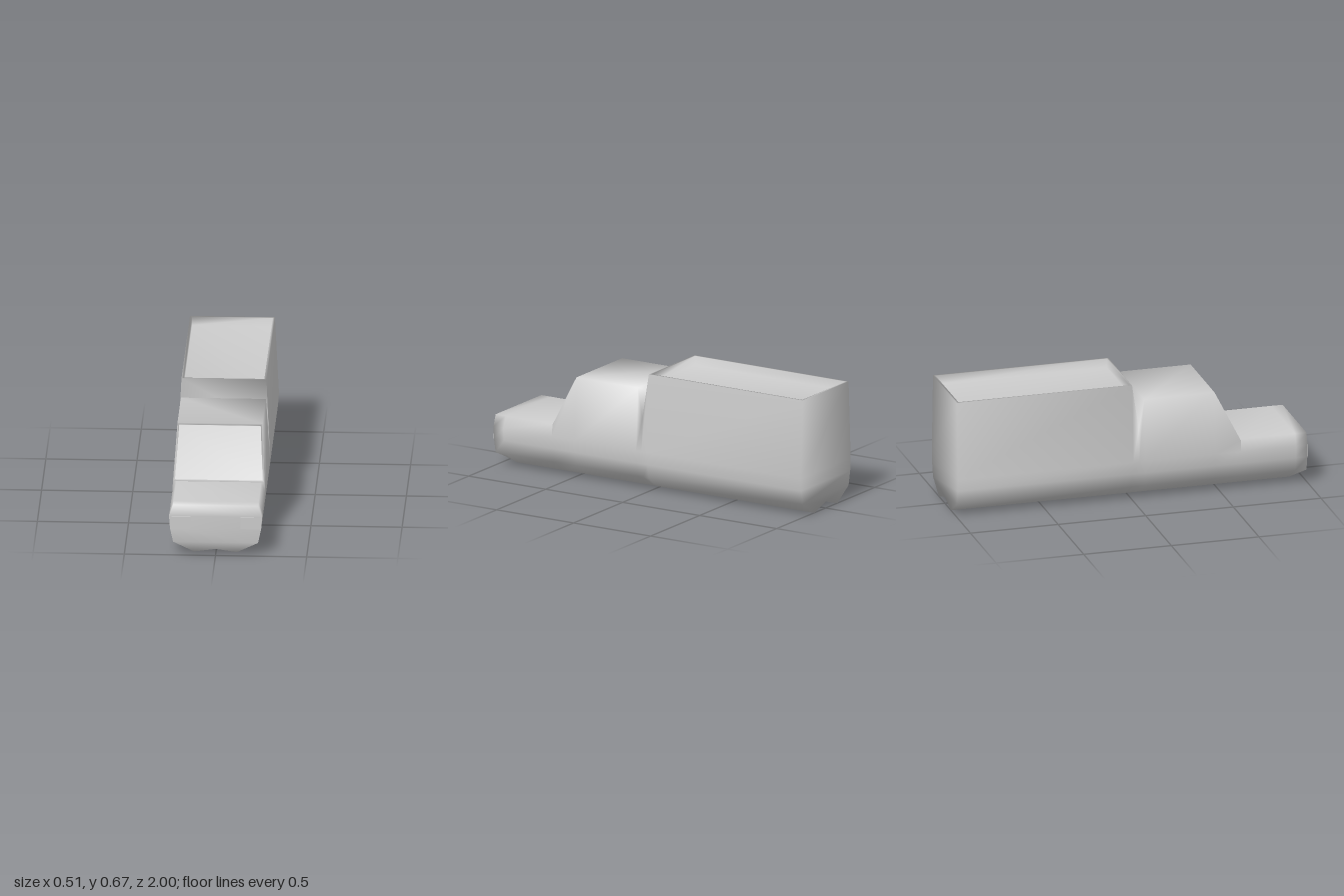
import * as THREE from 'three';
import { mergeVertices } from 'three/addons/utils/BufferGeometryUtils.js';

const material = new THREE.MeshStandardMaterial({ color: 0xcccccc });

// Stations from nose to tail: z, height and half width of the top edge,
// height of the two keels, and the recess (rim, depth) of the top panel behind.
const stations = [
  { z: 0.995, top: 0.29, width: 0.233, keel: 0.02 },            // nose
  { z: 0.93, top: 0.29, width: 0.233 },                         // chin
  { z: 0.615, top: 0.29, width: 0.233 },                        // hood end
  { z: 0.615, top: 0.29, width: 0.251, recess: [0.01, 0.015] }, // windscreen foot
  { z: 0.47, top: 0.578, width: 0.233 },                        // roof front
  { z: 0.07, top: 0.578, width: 0.233 },                        // roof back
  { z: 0.035, top: 0.41, width: 0.245 },                        // gap behind the cab
  { z: 0, top: 0.665, width: 0.233, recess: [0.012, 0.05] },    // load bed front
  { z: -1, top: 0.665, width: 0.233 },                          // tail
];

// Closed ring: centre of the underside, then up the left side and down the right
function ring({ z, top, width, keel = 0 }) {
  const half = [
    [0.117, keel], [0.233, 0.075], [0.25, 0.155], [0.255, 0.225], [width, top],
  ];
  const points = half.map(([x, y]) => new THREE.Vector3(x, y, z));
  const mirrored = half.map(([x, y]) => new THREE.Vector3(-x, y, z)).reverse();
  return [new THREE.Vector3(0, 0.037, z), ...points, ...mirrored];
}

function createBody() {
  const rings = stations.map(ring);
  const points = rings.flat();
  const n = rings[0].length;
  const index = [];
  const quad = (a, b, c, d) => index.push(a, b, c, a, c, d);

  // Panel sunk into a quad, leaving a narrow rim
  const recessed = (corners, rim, depth) => {
    const p = corners.map((i) => points[i]);
    const normal = p[1].clone().sub(p[0]).cross(p[2].clone().sub(p[0])).normalize();
    const inner = p.map((v, k) => {
      const next = p[(k + 1) % 4].clone().sub(v).normalize();
      const last = p[(k + 3) % 4].clone().sub(v).normalize();
      return v.clone().add(next.add(last).multiplyScalar(rim));
    });
    const sunk = inner.map((v) => v.clone().addScaledVector(normal, -depth));
    const base = points.length;
    points.push(...inner, ...sunk);
    for (let k = 0; k < 4; k++) {
      const m = (k + 1) % 4;
      quad(corners[k], corners[m], base + m, base + k);
      quad(base + k, base + m, base + 4 + m, base + 4 + k);
    }
    quad(base + 4, base + 5, base + 6, base + 7);
  };

  // Skin between neighbouring stations; edge 5 is the top panel
  for (let s = 0; s < stations.length - 1; s++) {
    for (let i = 0; i < n; i++) {
      const j = (i + 1) % n, a = s * n, b = a + n;
      const corners = [a + i, b + i, b + j, a + j];
      if (i === 5 && stations[s].recess) recessed(corners, ...stations[s].recess);
      else quad(...corners);
    }
  }

  // Nose and tail
  const tail = (stations.length - 1) * n;
  const capFaces = [
    [0, 1, 2], [0, 2, 9], [0, 9, 10], [2, 3, 8], [2, 8, 9],
    [3, 4, 7], [3, 7, 8], [4, 5, 6], [4, 6, 7],
  ];
  for (const [a, b, c] of capFaces) {
    index.push(a, b, c, tail + a, tail + c, tail + b);
  }

  const geometry = new THREE.BufferGeometry().setFromPoints(points);
  geometry.setIndex(index);
  const welded = mergeVertices(geometry);
  welded.computeVertexNormals();
  const body = new THREE.Mesh(welded, material);
  body.name = 'body';
  return body;
}

export function createModel() {
  const model = new THREE.Group();
  model.name = 'truck';
  model.add(createBody());

  // Headlights, slightly proud of the nose
  for (const [side, name] of [[1, 'leftHeadlight'], [-1, 'rightHeadlight']]) {
    const light = new THREE.Mesh(new THREE.BoxGeometry(0.113, 0.066, 0.02), material);
    light.position.set(side * 0.1925, 0.189, 0.99);
    light.name = name;
    model.add(light);
  }
  return model;
}
